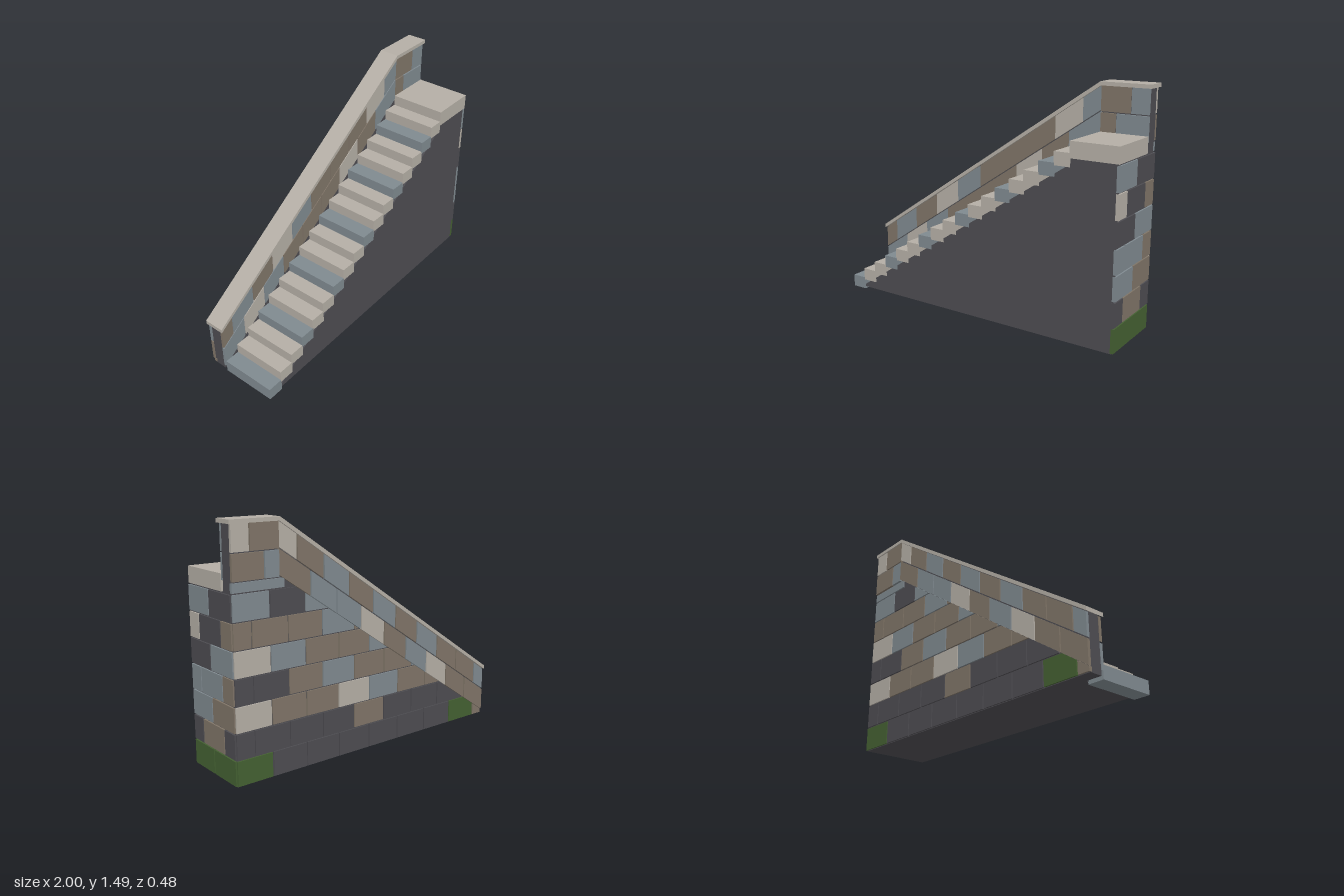
import * as THREE from 'three';

const mat = (name, color) => {
  const m = new THREE.MeshStandardMaterial({ color });
  m.name = name;
  return m;
};

// Keep the part of a polygon below the line y = m x + c
function clipBelow(pts, m, c) {
  const out = [];
  const d = (p) => p[1] - m * p[0] - c;
  pts.forEach((p, i) => {
    const q = pts[(i + 1) % pts.length];
    const a = d(p), b = d(q);
    if (a <= 0) out.push(p);
    if (a * b < 0) {
      const t = a / (a - b);
      out.push([p[0] + (q[0] - p[0]) * t, p[1] + (q[1] - p[1]) * t]);
    }
  });
  return out;
}

export function createModel() {
  const M = {
    L: mat('paleStone', 0xb4aea5),
    B: mat('blueStone', 0x7f898f),
    N: mat('brownStone', 0x7f7467),
    D: mat('darkStone', 0x4d4c51),
    G: mat('mossStone', 0x446032),
  };
  const model = new THREE.Group();
  model.name = 'stoneStaircase';
  const group = (name) => {
    const g = new THREE.Group();
    g.name = name;
    model.add(g);
    return g;
  };

  // Flat polygon in x/y, given thickness between z0 and z1
  const slab = (parent, name, pts, z0, z1, material) => {
    const shape = new THREE.Shape(pts.map((p) => new THREE.Vector2(p[0], p[1])));
    const geo = new THREE.ExtrudeGeometry(shape, { depth: z1 - z0, bevelEnabled: false });
    geo.translate(0, 0, z0);
    const mesh = new THREE.Mesh(geo, material);
    mesh.name = name;
    parent.add(mesh);
    return mesh;
  };
  const g = 0.004; // half of a mortar joint
  const rect = (x0, x1, y0, y1) => [[x0 + g, y0 + g], [x1 - g, y0 + g], [x1 - g, y1 - g], [x0 + g, y1 - g]];

  const SLOPE = 0.67, X0 = -0.985, X1 = 0.985, KNEE = 0.69;
  const ROW = 0.1545, BASE = 0.015;

  // Dark cores of the stair and of the parapet
  const core = group('core');
  slab(core, 'stairCore', [[-0.885, BASE], [X1, BASE], [X1, 1.1], [KNEE, 1.1], [KNEE, 1.064], [-0.885, 0.03]],
    -0.21, 0.235, M.D);
  slab(core, 'parapetCore', [[X0, BASE], [X1, BASE], [X1, 1.466], [KNEE, 1.466], [X0, 0.344]],
    -0.216, -0.135, M.D);

  // Treads and landing
  const stairs = group('stairs');
  const run = (KNEE - X0) / 17, rise = 0.0656;
  for (let i = 0; i < 17; i++) {
    const x = X0 + run * i, y = rise * i;
    slab(stairs, 'step', [[x, y], [x + run + 0.004, y], [x + run + 0.004, y + 0.08], [x, y + 0.08]],
      -0.12, 0.24, i % 3 ? M.L : M.B);
  }
  slab(stairs, 'landing', [[KNEE, 1.1], [0.99, 1.1], [0.99, 1.197], [KNEE, 1.197]], -0.12, 0.24, M.L);

  // Coping along the top of the parapet
  slab(group('coping'), 'coping',
    [[-1, 0.336], [KNEE, 1.464], [1, 1.464], [1, 1.487], [KNEE - 0.005, 1.487], [-1, 0.36]], -0.24, -0.11, M.L);

  // Parapet bricks: two sheared courses on the slope and two level ones at the top
  const upperX = [-0.99, -0.9], lowerX = [-0.99];
  for (let i = 0; i < 8; i++) {
    upperX.push(-0.9 + 0.184 * (i + 1));
    lowerX.push(-0.99 + 0.184 * (i + 1));
  }
  upperX.push(KNEE);
  lowerX.push(KNEE);
  const line = (x, drop) => 0.341 + SLOPE * (x + 0.99) - drop;
  const parapet = (name, z0, z1, upper, lower, flat) => {
    const p = group(name);
    [[upperX, upper, 0, 0.148], [lowerX, lower, 0.148, 0.3]].forEach(([xs, colours, top, bottom]) => {
      [...colours].forEach((c, i) => {
        const a = xs[i] + (i ? g : 0), b = xs[i + 1] - (xs[i + 1] === KNEE ? 0 : g);
        slab(p, 'slopedBrick', [
          [a, Math.max(BASE, line(a, bottom) + g)], [b, line(b, bottom) + g],
          [b, line(b, top) - g], [a, line(a, top) - g]], z0, z1, M[c]);
      });
    });
    [[0.875, 1.312, 1.468], [0.785, 1.158, 1.312]].forEach(([split, y0, y1], r) => {
      slab(p, 'levelBrick', rect(KNEE - g, split, y0, y1), z0, z1, M[flat[r][0]]);
      slab(p, 'levelBrick', rect(split, 0.99, y0, y1), z0, z1, M[flat[r][1]]);
    });
  };
  parapet('parapetFront', -0.136, -0.12, 'NBNLBNNNLB', 'BLBNNNLNB', ['NB', 'NB']);
  parapet('parapetBack', -0.232, -0.214, 'BNNBNBNBNL', 'NNLBNLBBN', ['NL', 'BN']);

  // Level courses of the back wall, from the +x end, cut off by the sloped band
  const back = group('backWall');
  const W = 0.237;
  ['GDDDDDDGN', 'DDDDNDDDN', 'LNNLBNNN', 'DDNBNNB', 'LBNNBN', 'NNNBN', 'BDBN'].forEach((colours, r) => {
    const y0 = BASE + ROW * r;
    let right = 0.99;
    [...colours].forEach((c, i) => {
      const left = right - (i === 0 && r % 2 ? W / 2 : W);
      const pts = clipBelow(rect(Math.max(left, -0.99), right, y0, y0 + ROW), SLOPE, line(0, 0.298));
      if (pts.length > 2) slab(back, 'wallBrick', pts, -0.225, -0.205, M[c]);
      right = left;
    });
  });
  slab(back, 'thinBrick', rect(0.65, 0.99, 1.097, 1.158), -0.225, -0.205, M.B);

  // End wall on the +x side; shape x runs towards -z
  const end = group('endWall');
  const half = [-0.24, -0.015, 0.22], thirds = [-0.24, -0.13, 0.105, 0.22];
  ['GG', 'DND', 'BN', 'BBN', 'DB', 'LDN', 'BD'].forEach((colours, r) => {
    const us = r % 2 ? thirds : half;
    const y0 = BASE + ROW * r;
    [...colours].forEach((c, i) => {
      slab(end, 'endBrick', rect(us[i], us[i + 1], y0, y0 + ROW), 0.975, 0.995, M[c]).rotation.y = Math.PI / 2;
    });
  });

  return model;
}
